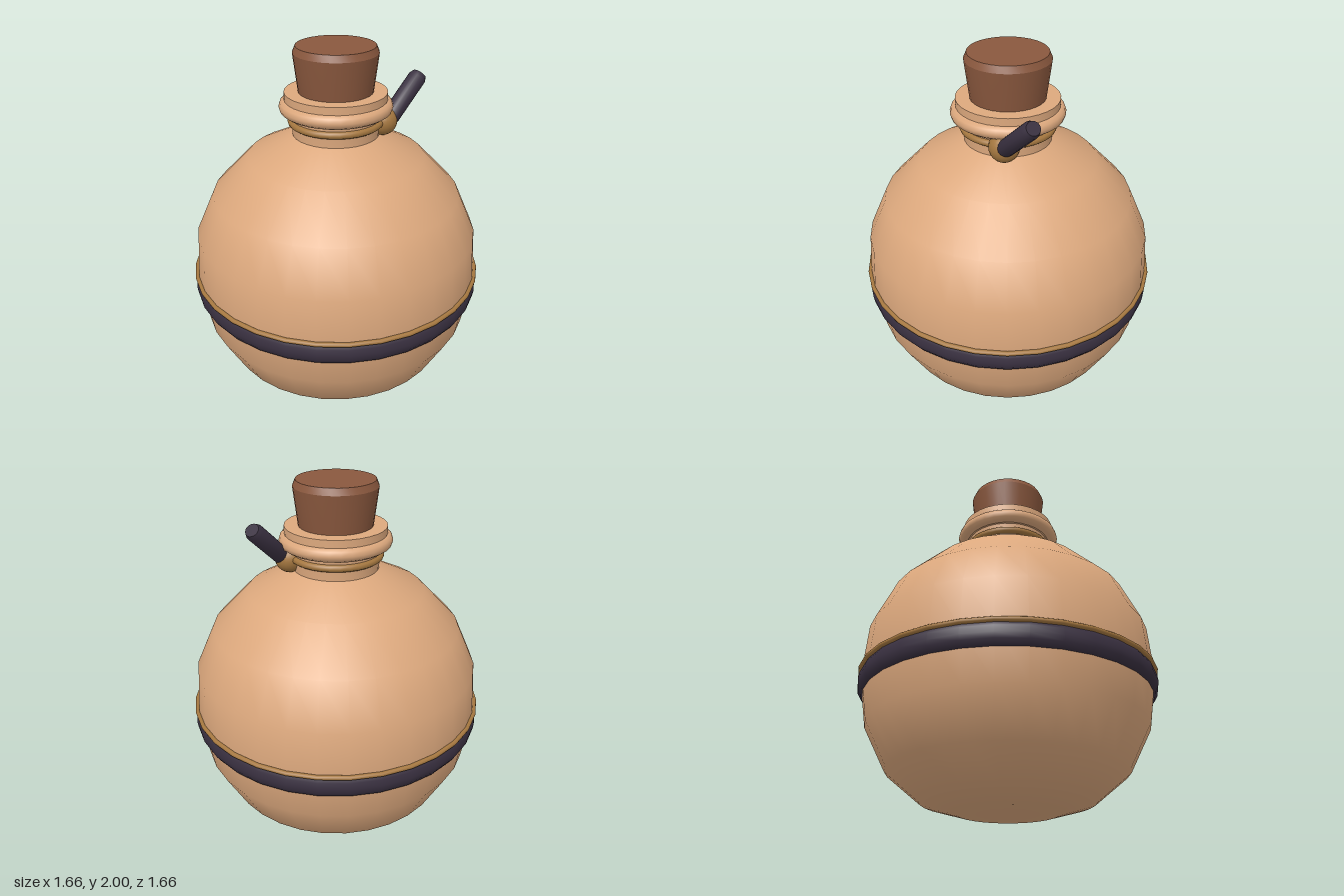
import * as THREE from 'three';
import { toCreasedNormals } from 'three/addons/utils/BufferGeometryUtils.js';

const mat = (name, color) => new THREE.MeshStandardMaterial({ name, color });

export function createModel() {
  const clay = mat('clay', 0xdca87d);
  const cork = mat('cork', 0x8a583e);
  const leather = mat('dark leather', 0x393040);
  const brass = mat('brass', 0xa67840);

  const model = new THREE.Group();
  model.name = 'stopperedFlask';

  const add = (name, geometry, material, x = 0, y = 0, z = 0) => {
    const mesh = new THREE.Mesh(geometry, material);
    mesh.name = name;
    mesh.position.set(x, y, z);
    model.add(mesh);
    return mesh;
  };
  // Profiles run from bottom to top as [radius, height]
  const lathe = (profile, segments = 32) =>
    new THREE.LatheGeometry(profile.map(([r, y]) => new THREE.Vector2(r, y)), segments);
  const creased = (profile, segments, angle = 0.9) => toCreasedNormals(lathe(profile, segments), angle);
  const ring = (name, radius, tube, y, material) =>
    add(name, new THREE.TorusGeometry(radius, tube, 10, 32), material, 0, y, 0).rotateX(Math.PI / 2);

  // Round body with a small flat base
  add('body', lathe([
    [0, 0], [0.27, 0.005], [0.465, 0.06], [0.65, 0.21], [0.77, 0.44], [0.812, 0.7],
    [0.79, 0.97], [0.685, 1.2], [0.485, 1.405], [0.23, 1.53], [0.2, 1.54],
  ]), clay);

  // Neck and lip
  add('neck', lathe([[0.235, 1.48], [0.235, 1.58], [0.247, 1.66]]), clay);
  add('lip', creased([[0.235, 1.64], [0.275, 1.66], [0.275, 1.76], [0, 1.76]], 32), clay);
  ring('lipRoll', 0.267, 0.038, 1.682, clay);

  // Tapered stopper with a bevelled top
  add('stopper', creased([
    [0, 1.7], [0.19, 1.7], [0.2, 1.76], [0.225, 1.965], [0.21, 2], [0, 2],
  ], 32, 0.5), cork);

  // Strap and trim around the belly
  add('bellyStrap', lathe([
    [0.77, 0.6], [0.805, 0.602], [0.822, 0.63], [0.826, 0.66], [0.822, 0.695], [0.808, 0.722], [0.77, 0.725],
  ]), leather);
  ring('bellyTrim', 0.816, 0.013, 0.727, brass);

  // Neck ring with bead and toggle
  ring('neckRing', 0.24, 0.02, 1.6, brass);
  add('bead', new THREE.SphereGeometry(0.08, 20, 14), brass, 0.165, 1.595, 0.19);

  const start = new THREE.Vector3(0.19, 1.6, 0.212);
  const axis = new THREE.Vector3(0.412, 1.802, 0.245).sub(start);
  const length = axis.length();
  const toggle = add('toggle', creased([
    [0, 0], [0.04, 0], [0.046, 0.02], [0.046, length - 0.025], [0.036, length], [0, length],
  ], 16), leather, start.x, start.y, start.z);
  toggle.quaternion.setFromUnitVectors(new THREE.Vector3(0, 1, 0), axis.normalize());
  toggle.scale.z = 1.12;

  return model;
}
